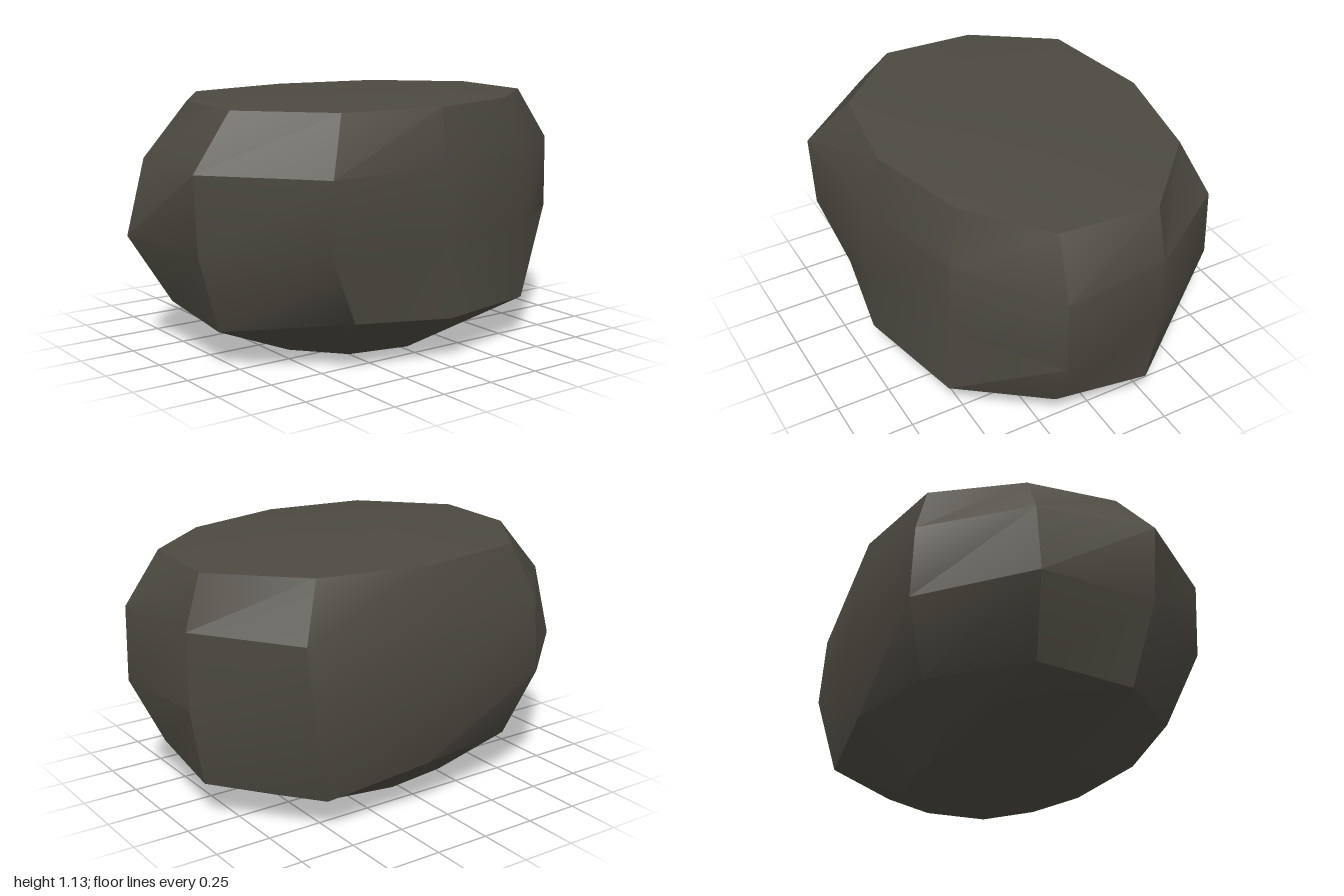
import * as THREE from 'three';
import { toCreasedNormals } from 'three/addons/utils/BufferGeometryUtils.js';

// Ten-sided outlines, running from the back round by the left: [x, z] or [x, z, y]
const foot = [[0.03, -0.39], [0.32, -0.34], [0.52, -0.14], [0.5, 0.14], [0.3, 0.31],
  [0.03, 0.41], [-0.25, 0.35], [-0.43, 0.14], [-0.42, -0.13], [-0.27, -0.35]];
const lower = [[0.04, -0.66, 0.22], [0.53, -0.61, 0.15], [0.89, -0.21, 0.175], [0.85, 0.23, 0.21], [0.55, 0.59, 0.19],
  [0.03, 0.71, 0.2], [-0.42, 0.63, 0.23], [-0.83, 0.22, 0.17], [-0.82, -0.21, 0.21], [-0.47, -0.56, 0.21]];
const middle = [[0.04, -0.72], [0.63, -0.68], [0.95, -0.21], [0.995, 0.27], [0.55, 0.58],
  [0, 0.71], [-0.58, 0.71], [-0.95, 0.27], [-1, -0.27], [-0.57, -0.66]];
const upper = [[0.04, -0.7], [0.65, -0.65], [0.95, -0.21], [0.99, 0.27], [0.55, 0.57],
  [0, 0.7], [-0.59, 0.72], [-0.97, 0.28], [-0.92, -0.25], [-0.56, -0.64]];
const rim = [[0.04, -0.65], [0.54, -0.55], [0.88, -0.21], [0.84, 0.23], [0.51, 0.5],
  [0.03, 0.63], [-0.44, 0.56], [-0.76, 0.22], [-0.73, -0.2], [-0.48, -0.56]];
// Slightly raised crown inside the rim
const crown = rim.map(([x, z]) => [x * 0.5 + 0.03, z * 0.45 + 0.12]);

export function createModel() {
  const stone = new THREE.MeshStandardMaterial({ color: 0x4c4a40 });
  stone.name = 'dark stone';

  const levels = [[foot, 0], [lower, 0.2], [middle, 0.52], [upper, 0.86], [rim, 1.1], [crown, 1.13]];
  const n = foot.length;
  const positions = [];
  for (const [ring, level] of levels) {
    for (const [x, z, y = level] of ring) positions.push(x, y, z);
  }

  // Sides: each quad is split from its upper corner to the next lower corner
  const index = [];
  for (let r = 0; r < levels.length - 1; r++) {
    for (let j = 0; j < n; j++) {
      const b = r * n + j, b2 = r * n + (j + 1) % n;
      index.push(b, b + n, b2, b + n, b2 + n, b2);
    }
  }

  // Flat bottom and top
  const bottom = levels.length * n, top = bottom + 1, last = (levels.length - 1) * n;
  positions.push(0.03, 0, 0, 0.04, 1.133, 0.12);
  for (let j = 0; j < n; j++) {
    const k = (j + 1) % n;
    index.push(bottom, j, k, top, last + k, last + j);
  }

  const geometry = new THREE.BufferGeometry();
  geometry.setAttribute('position', new THREE.Float32BufferAttribute(positions, 3));
  geometry.setIndex(index);

  const rock = new THREE.Mesh(toCreasedNormals(geometry, Math.PI / 6), stone);
  rock.name = 'boulder';
  const group = new THREE.Group();
  group.name = 'rock';
  group.add(rock);
  return group;
}
